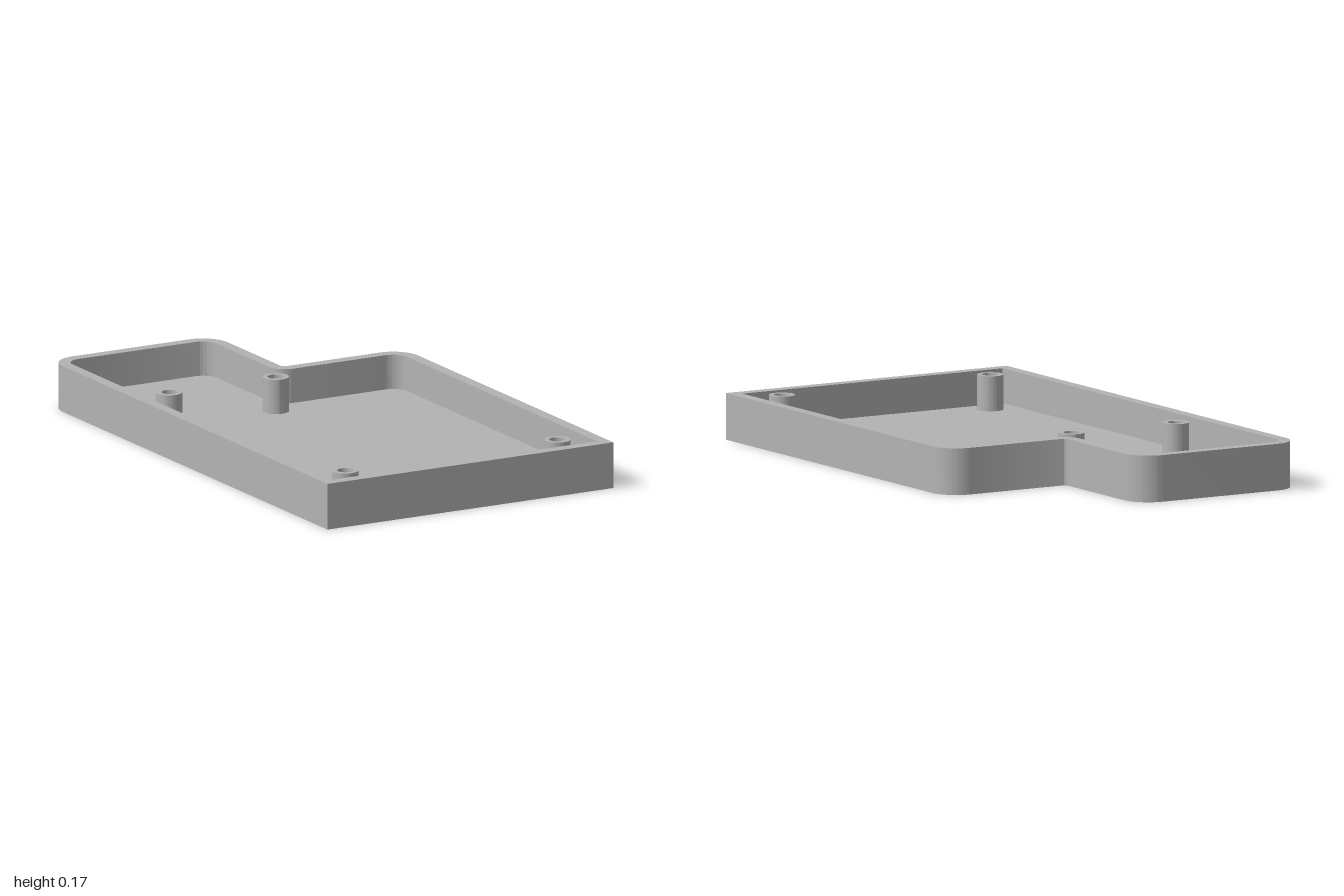
import * as THREE from 'three';
import { toCreasedNormals } from 'three/addons/utils/BufferGeometryUtils.js';

const HALF_X = 0.586, HEIGHT = 0.168, FLOOR = 0.042, WALL = 0.043;
const POSTS = [[-0.436, -0.395], [0, -0.395], [-0.436, 0.865], [0.434, 0.865]];
const POST_R = 0.047, HOLE_R = 0.029;

// Stepped tray outline moved inwards by d (shape y = -z)
function trace(path, d) {
  const left = -HALF_X + d, right = HALF_X - d, front = -1 + d;
  const back = 1 - d, stepX = 0.09 - d, stepY = 0.503 - d;
  const r = 0.1 - d, c = 0.02 + d; // convex and concave corner radii
  path.moveTo(left, front);
  path.lineTo(right, front);
  path.absarc(right - r, stepY - r, r, 0, Math.PI / 2, false);
  path.absarc(stepX + c, stepY + c, c, -Math.PI / 2, -Math.PI, true);
  path.absarc(stepX - r, back - r, r, 0, Math.PI / 2, false);
  path.absarc(left + r, back - r, r, Math.PI / 2, Math.PI, false);
  path.closePath();
  return path;
}

function circle(path, x, z, r) {
  path.absarc(x, -z, r, 0, Math.PI * 2, false);
  return path;
}

export function createModel() {
  const group = new THREE.Group();
  const grey = new THREE.MeshStandardMaterial({ color: 0xb3b3b3 });
  grey.name = 'grey plastic';

  // Stands a flat shape up between two heights
  function addPart(name, shape, y0, y1) {
    let geo = new THREE.ExtrudeGeometry(shape, { depth: y1 - y0, bevelEnabled: false, curveSegments: 24 });
    geo.rotateX(-Math.PI / 2);
    geo.translate(0, y0, 0);
    geo = toCreasedNormals(geo, Math.PI / 6);
    const mesh = new THREE.Mesh(geo, grey);
    mesh.name = name;
    group.add(mesh);
  }

  // Rim wall
  const wall = trace(new THREE.Shape(), 0);
  wall.holes.push(trace(new THREE.Path(), WALL));
  addPart('wall', wall, 0, HEIGHT);

  // Floor with screw holes
  const floor = trace(new THREE.Shape(), WALL);
  POSTS.forEach(([x, z]) => floor.holes.push(circle(new THREE.Path(), x, z, HOLE_R)));
  addPart('floor', floor, 0, FLOOR);

  // Hollow mounting posts
  POSTS.forEach(([x, z], i) => {
    const post = circle(new THREE.Shape(), x, z, POST_R);
    post.holes.push(circle(new THREE.Path(), x, z, HOLE_R));
    addPart('mountingPost' + (i + 1), post, FLOOR, HEIGHT);
  });

  return group;
}
